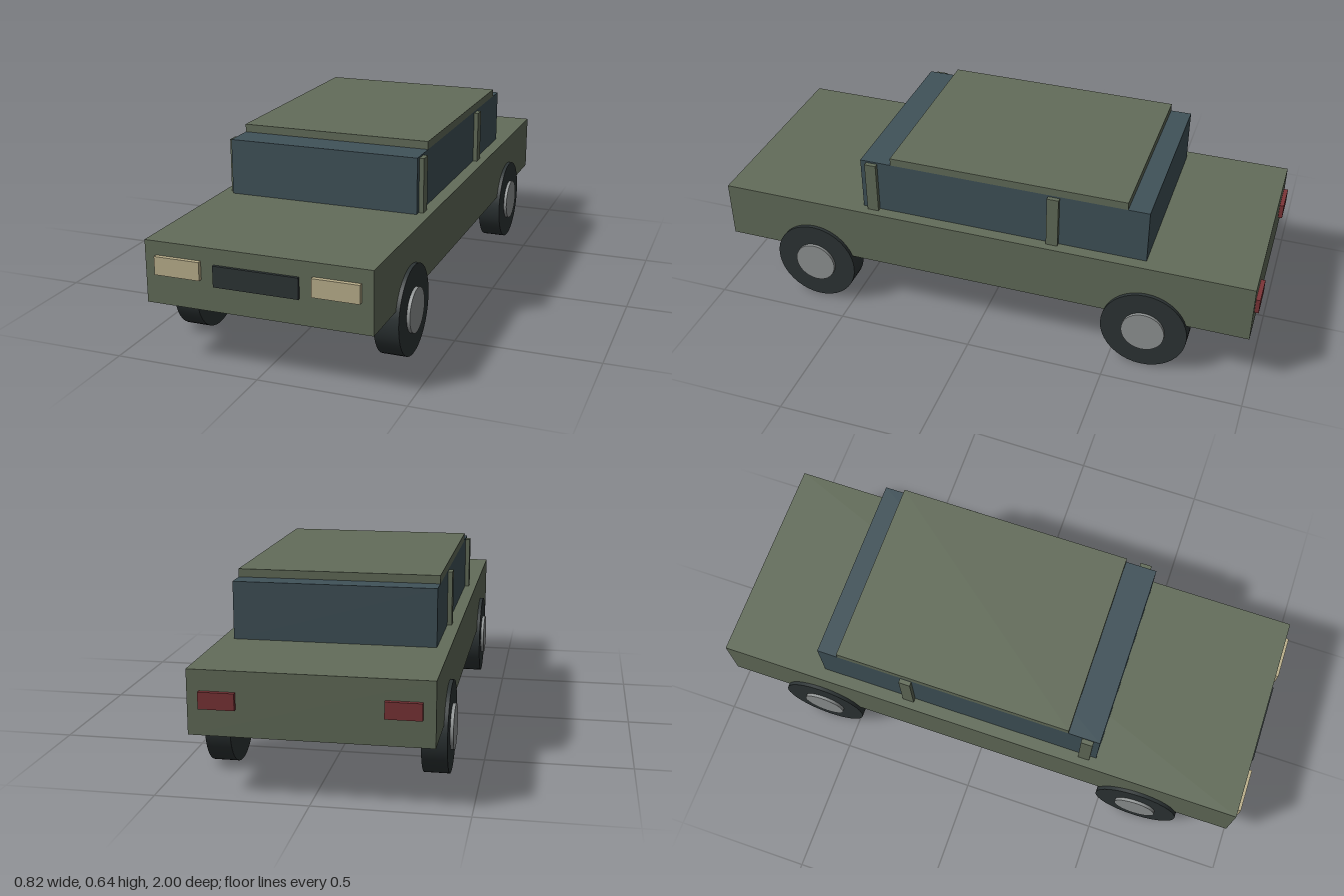
import * as THREE from 'three';

const material = (name, color) => {
  const m = new THREE.MeshStandardMaterial({ color });
  m.name = name;
  return m;
};

export function createModel() {
  const paint = material('olive paint', 0x636d5a);
  const glass = material('blue glass', 0x405259);
  const rubber = material('dark rubber', 0x2d3435);
  const metal = material('grey metal', 0x929696);
  const lamp = material('cream lamp', 0xbbb08c);
  const red = material('red lamp', 0x7c3437);

  const car = new THREE.Group();
  car.name = 'car';

  // Box given by its limits on each axis
  const box = (name, mat, [x0, x1], [y0, y1], [z0, z1]) => {
    const mesh = new THREE.Mesh(new THREE.BoxGeometry(x1 - x0, y1 - y0, z1 - z0), mat);
    mesh.position.set((x0 + x1) / 2, (y0 + y1) / 2, (z0 + z1) / 2);
    mesh.name = name;
    car.add(mesh);
  };

  // Body, cabin and roof
  box('body', paint, [-0.387, 0.387], [0.204, 0.416], [-0.985, 0.985]);
  box('cabinGlass', glass, [-0.343, 0.343], [0.416, 0.613], [-0.603, 0.45]);
  box('roof', paint, [-0.343, 0.343], [0.613, 0.641], [-0.527, 0.335]);
  box('grille', rubber, [-0.145, 0.145], [0.291, 0.362], [0.98, 0.995]);

  // Lying cylinder with its axis along x
  const disc = (name, mat, radius, x0, x1, z) => {
    const geometry = new THREE.CylinderGeometry(radius, radius, x1 - x0, 40);
    geometry.rotateZ(Math.PI / 2);
    const mesh = new THREE.Mesh(geometry, mat);
    mesh.position.set((x0 + x1) / 2, 0.155, z);
    mesh.name = name;
    car.add(mesh);
  };

  for (const [side, s] of [['left', 1], ['right', -1]]) {
    const span = (a, b) => (s > 0 ? [a, b] : [-b, -a]);

    // Lamps
    box(side + 'Headlight', lamp, span(0.19, 0.348), [0.307, 0.369], [0.98, 1]);
    box(side + 'TailLight', red, span(0.232, 0.348), [0.293, 0.348], [-1, -0.98]);

    // Window pillars
    for (const [end, z] of [['Front', 0.407], ['Middle', -0.268]]) {
      box(side + end + 'Pillar', paint, span(0.328, 0.359), [0.416, 0.607], [z - 0.021, z + 0.021]);
    }

    // Wheels
    for (const [end, z] of [['Front', 0.64], ['Rear', -0.62]]) {
      disc(side + end + 'Tyre', rubber, 0.155, ...span(0.315, 0.4), z);
      disc(side + end + 'Hub', metal, 0.077, ...span(0.39, 0.411), z);
    }
  }
  return car;
}
